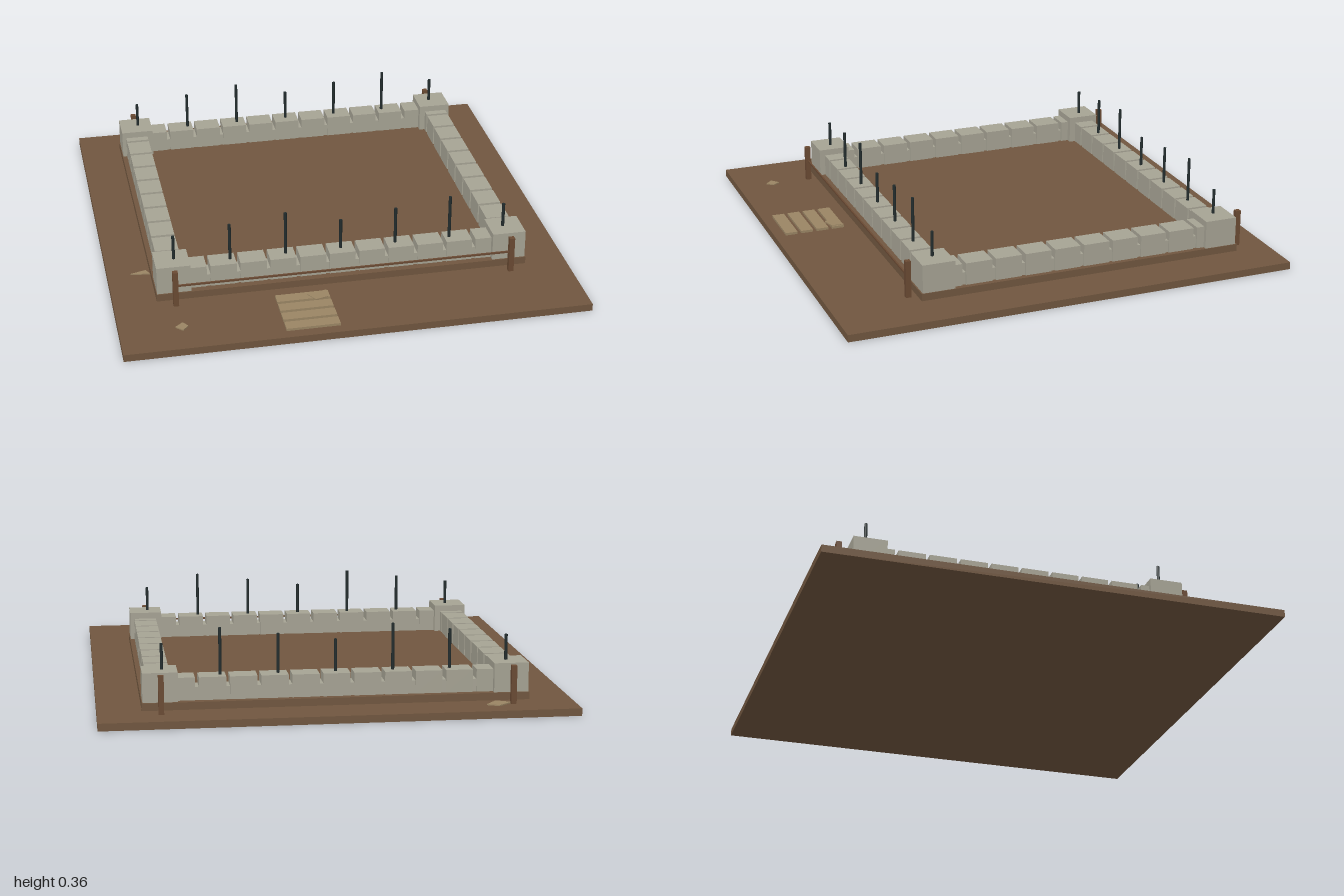
import * as THREE from 'three';

const mat = (name, color) => Object.assign(new THREE.MeshStandardMaterial({ color }), { name });

export function createModel() {
  const model = new THREE.Group();
  const earth = mat('earth', 0x70563f);
  const wood = mat('wood', 0x6a4a33);
  const stone = mat('stone', 0xa6a394);
  const iron = mat('iron', 0x222c2d);
  const plank = mat('plank', 0x9a8564);

  const add = (name, geometry, material, x, y, z) => {
    const mesh = new THREE.Mesh(geometry, material);
    mesh.name = name;
    mesh.position.set(x, y, z);
    model.add(mesh);
    return mesh;
  };
  // Box given by its centre in x and z, and its bottom and top
  const box = (name, material, x, z, w, d, y0, y1) =>
    add(name, new THREE.BoxGeometry(w, y1 - y0, d), material, x, (y0 + y1) / 2, z);

  // Ground slab and stepped footing
  box('ground', earth, 0, 0, 2, 2, 0, 0.032);
  box('footingBase', earth, 0, -0.107, 1.57, 1.4, 0.032, 0.04);
  box('footing', earth, 0, -0.107, 1.63, 1.46, 0.038, 0.07);

  const front = 0.545, back = -0.76, side = 0.742;

  // Front and back walls: recessed core, stone blocks and upright iron rods
  for (const z of [front, back]) {
    box('wallCore', stone, 0, z, 1.4, 0.085, 0.07, 0.125);
    for (let i = -5; i <= 5; i++) {
      box('wallBlock', stone, i * 0.13, z, 0.114, 0.094, 0.07, 0.167);
    }
    for (let i = 0; i < 7; i++) {
      const top = 0.305 + 0.03 * (i % 3);
      add('rod', new THREE.CylinderGeometry(0.007, 0.007, top - 0.1, 6), iron,
        (i - 3) * 0.2425, (top + 0.1) / 2, z);
    }
  }

  // Side walls, corner blocks and fence posts
  for (const s of [-1, 1]) {
    box('sideWallCore', stone, s * side, -0.107, 0.088, 1.2, 0.07, 0.125);
    for (let k = -1; k <= 8; k++) {
      box('sideWallBlock', stone, s * side, 0.361 - k * 0.1337, 0.103, 0.117, 0.07, 0.167);
    }
    for (const z of [front, -0.757]) {
      box('cornerBlock', stone, s * 0.738, z, 0.147, 0.144, 0.07, 0.195);
    }
    for (const z of [0.657, -0.875]) {
      box('post', wood, s * 0.737, z, 0.023, 0.023, 0.03, 0.195);
    }
  }

  // Rail between the front posts
  box('rail', wood, 0, 0.657, 1.474, 0.007, 0.122, 0.13);

  // Plank walkway
  for (let i = 0; i < 4; i++) {
    box('walkwayPlank', plank, -0.2, 0.708 + i * 0.072, 0.23, 0.055, 0.03, 0.043);
  }

  // Flat scraps lying about
  const scrap = (points, y) => {
    const shape = new THREE.Shape(points.map(([x, z]) => new THREE.Vector2(x, -z)));
    const geometry = new THREE.ExtrudeGeometry(shape, { depth: 0.006, bevelEnabled: false });
    add('scrap', geometry.rotateX(-Math.PI / 2), plank, 0, y, 0);
  };
  scrap([[-0.73, -0.87], [-0.67, -0.92], [-0.62, -0.895], [-0.67, -0.835]], 0.031);
  scrap([[-0.765, 0.835], [-0.73, 0.805], [-0.71, 0.835], [-0.735, 0.865]], 0.031);
  scrap([[-0.9, 0.37], [-0.83, 0.35], [-0.815, 0.385]], 0.031);
  scrap([[-0.18, 0.7], [-0.09, 0.68], [-0.095, 0.735], [-0.15, 0.75]], 0.04);

  return model;
}
